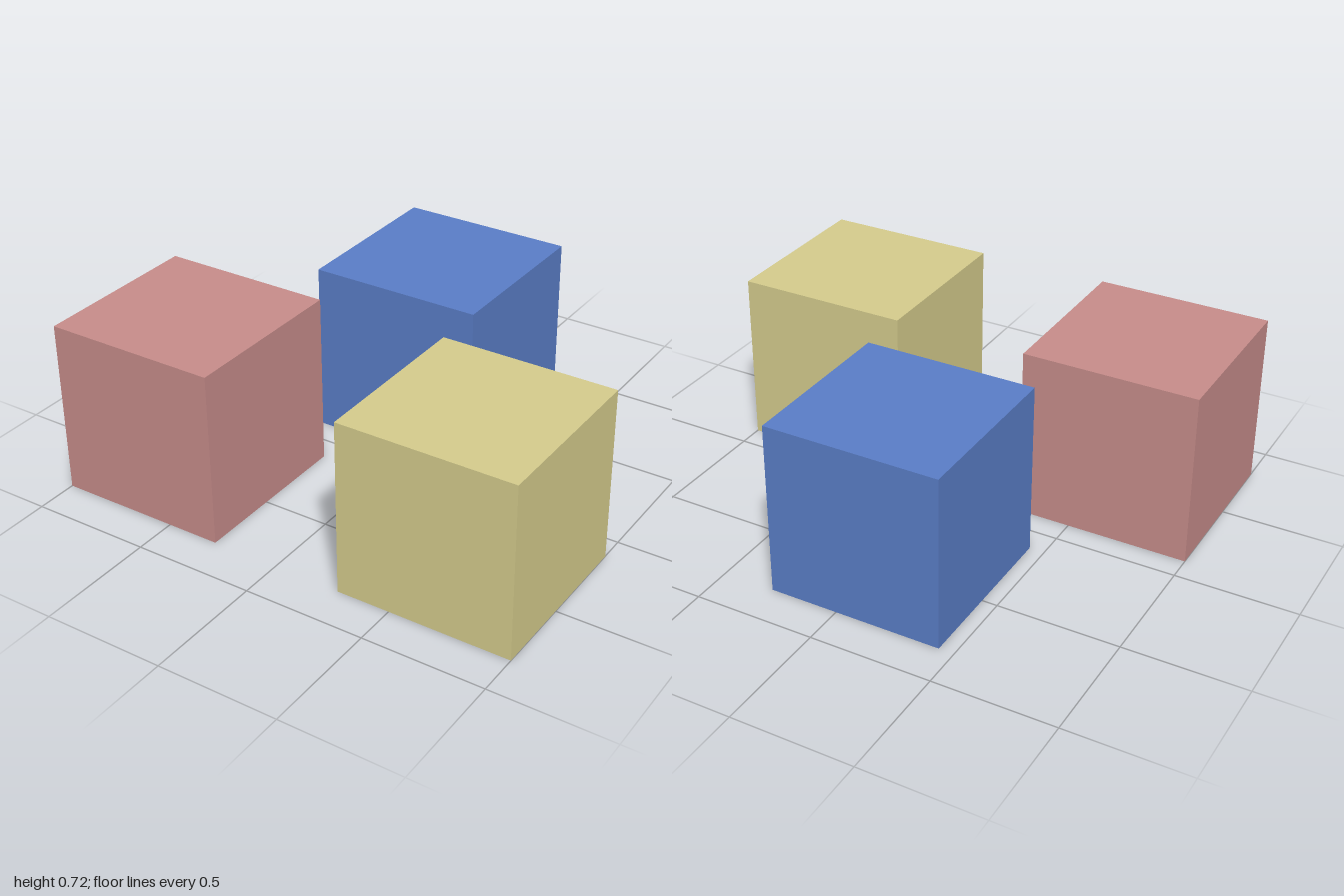
import * as THREE from 'three';

const SIZE = 0.72;

// Three equal cubes: two in front, one behind and slightly off centre
const CUBES = [
  { name: 'redCube', color: 0xc98e8c, x: -0.64, z: 0.465 },
  { name: 'yellowCube', color: 0xd7ce8e, x: 0.64, z: 0.465 },
  { name: 'blueCube', color: 0x5b7fc9, x: -0.077, z: -0.468 },
];

export function createModel() {
  const group = new THREE.Group();
  group.name = 'cubes';
  const geometry = new THREE.BoxGeometry(SIZE, SIZE, SIZE);
  for (const { name, color, x, z } of CUBES) {
    const cube = new THREE.Mesh(geometry, new THREE.MeshStandardMaterial({ color }));
    cube.name = name;
    cube.position.set(x, SIZE / 2, z);
    group.add(cube);
  }
  return group;
}
